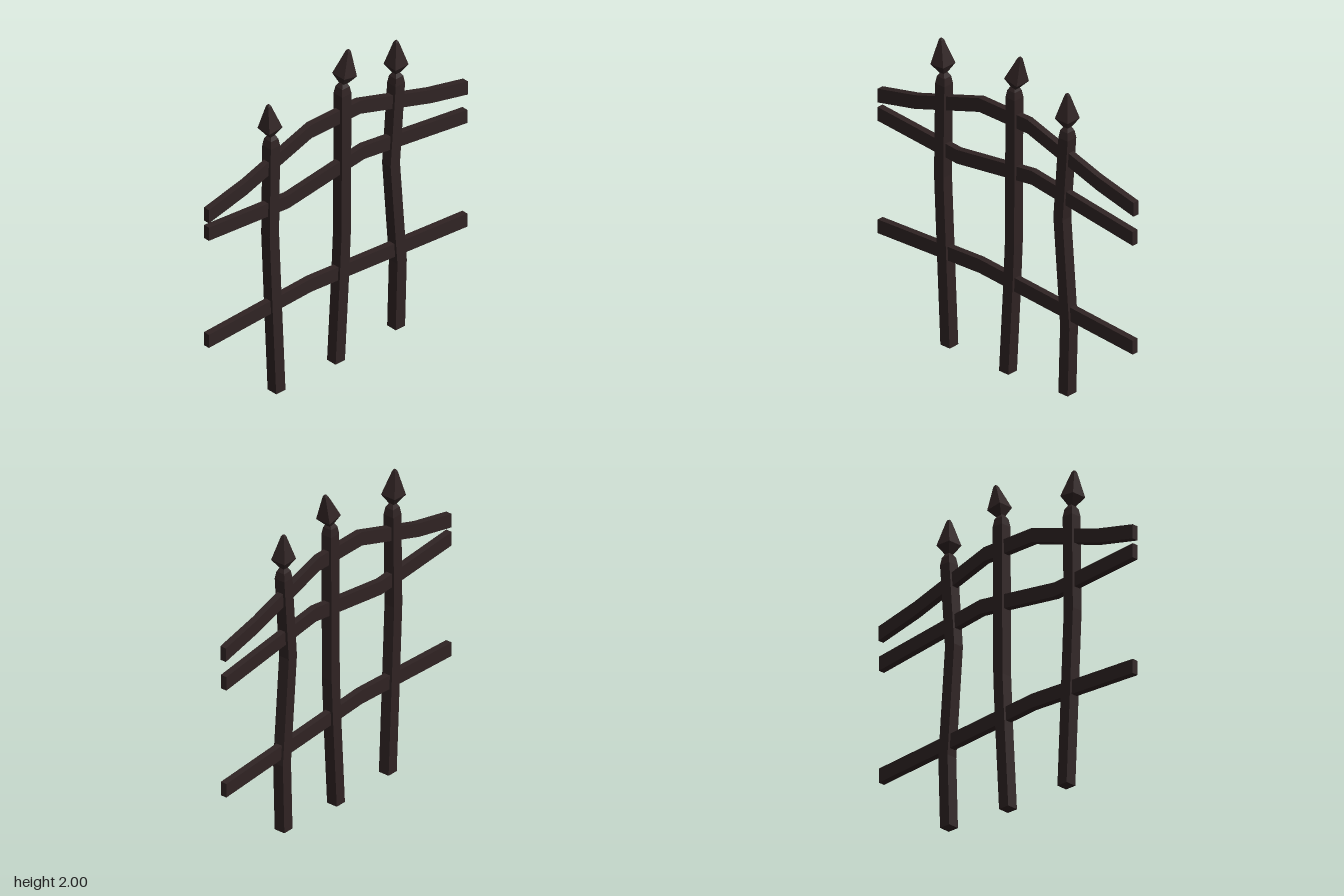
import * as THREE from 'three';

const iron = new THREE.MeshStandardMaterial({ color: 0x2f2323, flatShading: true });
iron.name = 'dark iron';

// Square-sectioned solid through rings of [x, y, half size]
function loft(rings) {
  const pos = [], idx = [];
  for (const [x, y, h] of rings)
    pos.push(x - h, y, h, x + h, y, h, x + h, y, -h, x - h, y, -h);
  for (let r = 0; r < rings.length - 1; r++)
    for (let i = 0; i < 4; i++) {
      const a = r * 4 + i, b = r * 4 + (i + 1) % 4;
      idx.push(a, b, b + 4, a, b + 4, a + 4);
    }
  const t = (rings.length - 1) * 4;
  idx.push(0, 2, 1, 0, 3, 2, t, t + 1, t + 2, t, t + 2, t + 3);
  const g = new THREE.BufferGeometry();
  g.setAttribute('position', new THREE.Float32BufferAttribute(pos, 3));
  g.setIndex(idx);
  const flat = g.toNonIndexed();
  flat.computeVertexNormals();
  return flat;
}

// Bent flat bar with plumb-cut ends
function rail(points, half) {
  const top = points.map(([x, y]) => new THREE.Vector2(x, y + half));
  const bottom = points.map(([x, y]) => new THREE.Vector2(x, y - half)).reverse();
  const g = new THREE.ExtrudeGeometry(new THREE.Shape([...bottom.reverse(), ...top.reverse()]),
    { depth: 0.04, bevelEnabled: false });
  return g.translate(0, 0, -0.02);
}

export function createModel() {
  const fence = new THREE.Group();
  fence.name = 'crookedFence';
  const add = (name, geometry) => {
    const mesh = new THREE.Mesh(geometry, iron);
    mesh.name = name;
    fence.add(mesh);
    return mesh;
  };

  // Horizontal rails
  add('topRail', rail([[-0.97, 1.375], [-0.69, 1.438], [-0.2, 1.6], [0.165, 1.6], [0.695, 1.438], [0.97, 1.375]], 0.043));
  add('middleRail', rail([[-0.97, 1.26], [-0.37, 1.213], [0.195, 1.29], [0.965, 1.19]], 0.043));
  add('bottomRail', rail([[-0.97, 0.555], [-0.2, 0.59], [0.965, 0.508]], 0.043));

  // Crooked posts with rounded tops, each carrying a leaning spear head
  const posts = [
    { name: 'right', path: [[-0.445, 0], [-0.472, 0.58], [-0.493, 1.05], [-0.485, 1.625]], tip: [-0.489, 1.685], lean: 0.08 },
    { name: 'middle', path: [[0, 0], [0.032, 0.56], [0.044, 0.82], [0.049, 1.735]], tip: [0.053, 1.79], lean: -0.19 },
    { name: 'left', path: [[0.45, 0.03], [0.463, 0.46], [0.412, 1.12], [0.45, 1.63]], tip: [0.45, 1.69], lean: 0 },
  ];
  for (const { name, path, tip, lean } of posts) {
    const [x, y] = path[path.length - 1];
    add(name + 'Post', loft([
      ...path.map(([px, py]) => [px, py, 0.035]),
      [x, y + 0.045, 0.028], [x, y + 0.07, 0.014],
    ]));
    const spear = add(name + 'SpearHead', loft([[0, 0, 0.012], [0, 0.06, 0.049], [0, 0.205, 0.011], [0, 0.215, 0.006]]));
    spear.position.set(tip[0], tip[1], 0);
    spear.rotation.z = lean;
  }
  return fence;
}
